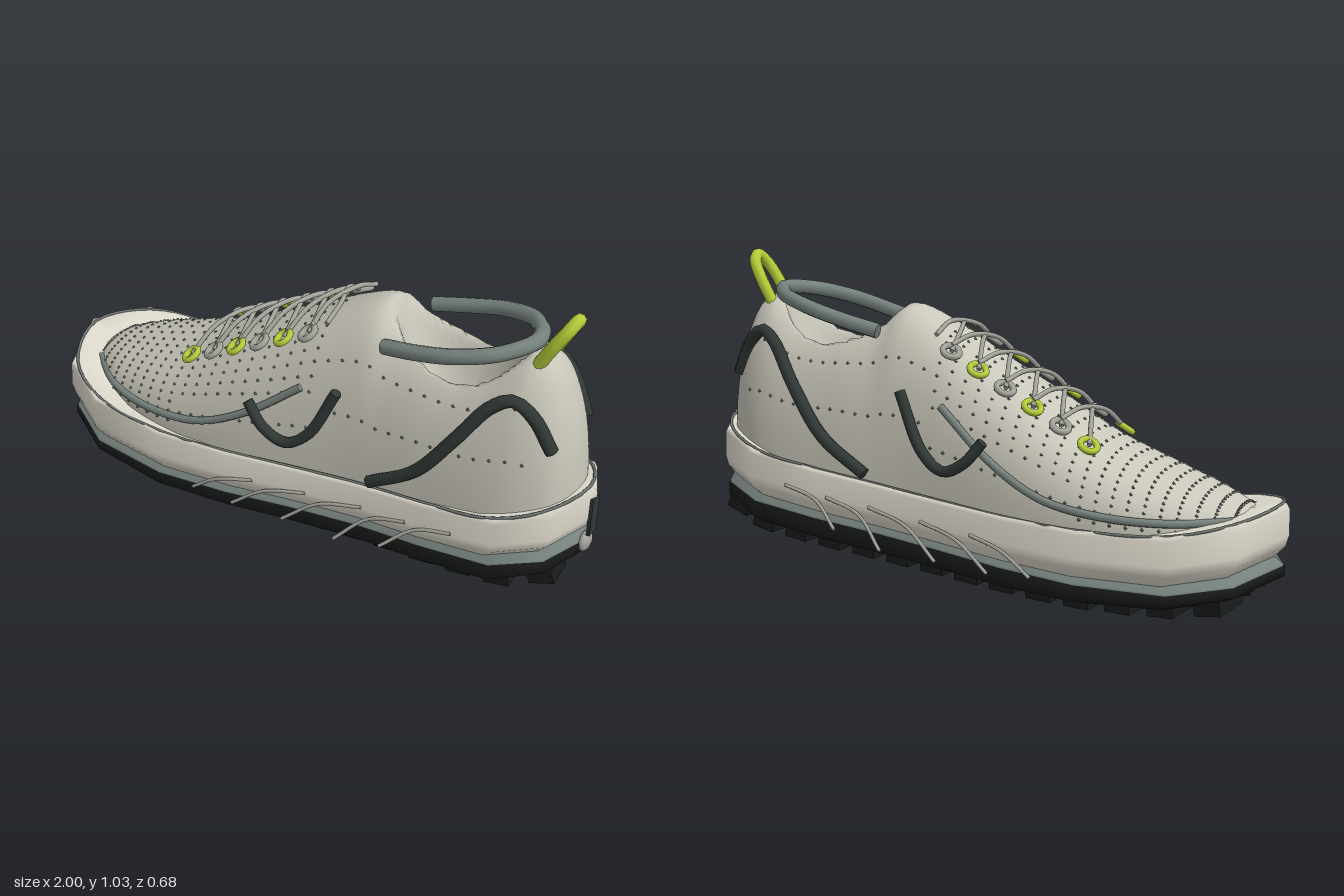
import * as THREE from 'three';
import { mergeGeometries } from 'three/addons/utils/BufferGeometryUtils.js';

const mat = (color) => new THREE.MeshStandardMaterial({ color, side: THREE.DoubleSide });
const M = {
  upper: mat(0xc9c7ba), foam: mat(0xdfdacd), sage: mat(0x76827d), dark: mat(0x303835),
  rubber: mat(0x181b1a), lime: mat(0xb4cc38), lace: mat(0xa3a39b), dot: mat(0x6b726f),
};

// Smooth interpolation through [x, value] pairs
function curve(p) {
  const slope = (i) => {
    const a = p[Math.max(i - 1, 0)], b = p[Math.min(i + 1, p.length - 1)];
    return (b[1] - a[1]) / (b[0] - a[0]);
  };
  return (x) => {
    x = Math.min(Math.max(x, p[0][0]), p[p.length - 1][0]);
    let i = 0;
    while (i < p.length - 2 && x > p[i + 1][0]) i++;
    const d = p[i + 1][0] - p[i][0], t = (x - p[i][0]) / d, s = 1 - t;
    return p[i][1] * s * s * (1 + 2 * t) + p[i + 1][1] * t * t * (3 - 2 * t)
      + d * t * s * (slope(i) * s - slope(i + 1) * t);
  };
}

// Toe is at -x, heel at +x
const soleTop = curve([[-1, 0.335], [-0.8, 0.28], [-0.5, 0.265], [0, 0.285], [0.5, 0.335], [0.8, 0.385], [1, 0.46]]);
const foamBase = curve([[-1, 0.165], [-0.8, 0.12], [-0.4, 0.12], [0, 0.145], [0.5, 0.19], [0.8, 0.23], [1, 0.285]]);
const treadBase = curve([[-1, 0.095], [-0.8, 0.05], [-0.4, 0.04], [0, 0.06], [0.5, 0.1], [0.8, 0.14], [1, 0.21]]);
const ridge = curve([[-0.92, 0.29], [-0.82, 0.34], [-0.6, 0.42], [-0.4, 0.5], [-0.2, 0.62], [0, 0.735], [0.12, 0.81], [0.27, 0.875],
  [0.34, 0.835], [0.45, 0.81], [0.55, 0.8], [0.65, 0.82], [0.74, 0.87], [0.79, 0.885], [0.86, 0.83], [0.93, 0.62], [0.95, 0.4]]);
const halfWidth = curve([[-0.92, 0], [-0.88, 0.09], [-0.8, 0.17], [-0.7, 0.225], [-0.5, 0.272], [-0.2, 0.268],
  [0.2, 0.222], [0.5, 0.208], [0.75, 0.19], [0.88, 0.14], [0.93, 0.08], [0.95, 0.01]]);
const bulge = curve([[-1, 2.3], [0, 2.6], [0.3, 2.3], [0.5, 2.5], [0.75, 2.2], [1, 2]]);

// Surface through a grid of points
function grid(nu, nv, fn) {
  const pos = [], idx = [];
  for (let i = 0; i <= nu; i++) for (let j = 0; j <= nv; j++) pos.push(...fn(i / nu, j / nv));
  for (let i = 0; i < nu; i++) for (let j = 0; j < nv; j++) {
    const a = i * (nv + 1) + j, b = a + nv + 1;
    idx.push(a, a + 1, b, b, a + 1, b + 1);
  }
  const g = new THREE.BufferGeometry();
  g.setAttribute('position', new THREE.Float32BufferAttribute(pos, 3));
  g.setIndex(idx);
  g.computeVertexNormals();
  return g;
}

// Sole outline, one side from toe to heel, then mirrored
const half = [[-1, 0], [-0.91, 0.22], [-0.73, 0.315], [-0.44, 0.34], [-0.18, 0.31], [0.06, 0.27], [0.3, 0.242],
  [0.54, 0.238], [0.78, 0.228], [0.93, 0.155], [1, 0]];
const outline = [...half, ...half.slice(1, -1).reverse().map(([x, z]) => [x, -z]), half[0]];
const widthAt = (x) => {
  const i = Math.max(1, half.findIndex((p) => p[0] >= x)), a = half[i - 1], b = half[i];
  return a[1] + (b[1] - a[1]) * (x - a[0]) / (b[0] - a[0]);
};

// Stack of scaled outlines, each [scaleX, scaleZ, height rule]
const stack = (rings) => grid(rings.length - 1, outline.length - 1, (u, v) => {
  const [sx, sz, y] = rings[Math.round(u * (rings.length - 1))];
  const [x, z] = outline[Math.round(v * (outline.length - 1))];
  return [x * sx, y(x), z * sz];
});
const mix = (t) => (x) => foamBase(x) + (soleTop(x) - foamBase(x)) * t;

// Point on the upper at length x and angle a across it
function onUpper(x, a) {
  const base = soleTop(x) - 0.03, n = bulge(x), c = Math.cos(a);
  const z = halfWidth(x) * Math.sign(c) * Math.abs(c) ** (2 / n);
  const y = base + Math.max(0, ridge(x) - base) * Math.max(0, Math.sin(a)) ** (2 / n);
  const d = ((x - 0.53) / 0.23) ** 2 + (z / 0.122) ** 2; // foot opening
  return [x, d < 1 ? y - 0.32 * (1 - d) : y, z];
}
const sideZ = (x, y) => {
  const base = soleTop(x) - 0.03, n = bulge(x);
  const s = Math.min(1, Math.max(0, (y - base) / (ridge(x) - base)));
  return halfWidth(x) * (1 - s ** n) ** (1 / n);
};

function tube(points, r, closed = false, seg = 32) {
  const path = new THREE.CatmullRomCurve3(points.map((p) => new THREE.Vector3(...p)), closed);
  const g = new THREE.TubeGeometry(path, seg, r, 8, closed);
  if (closed) return g;
  const caps = [0, 1].map((t) => {
    const cap = new THREE.CircleGeometry(r, 8);
    const dir = path.getTangent(t).multiplyScalar(t ? 1 : -1);
    cap.applyQuaternion(new THREE.Quaternion().setFromUnitVectors(new THREE.Vector3(0, 0, 1), dir));
    const p = path.getPoint(t);
    return cap.translate(p.x, p.y, p.z);
  });
  return mergeGeometries([g, ...caps]);
}

export function createModel() {
  const shoe = new THREE.Group();
  const add = (name, geo, material) => {
    const m = new THREE.Mesh(geo, material);
    m.name = name;
    shoe.add(m);
    return m;
  };

  // Sole layers
  add('midsole', stack([[0.6, 0.5, mix(0.7)], [0.9, 0.85, mix(0.88)], [0.99, 0.95, mix(1)], [1, 0.965, mix(0.9)],
    [1, 1, mix(0.42)], [0.99, 0.99, mix(0.22)], [0.955, 0.93, mix(0)]]), M.foam);
  add('soleStripe', stack([[0.945, 0.91, mix(0.06)], [0.985, 0.975, mix(-0.1)], [0.985, 0.975, mix(-0.16)]]), M.sage);
  add('outsole', stack([[0.96, 0.93, mix(-0.1)], [0.99, 0.98, mix(-0.15)], [0.99, 0.985, (x) => treadBase(x) + 0.015],
    [0.96, 0.92, treadBase], [0.96, 0, treadBase]]), M.rubber);
  add('soleSeam', tube(outline.slice(0, -1).map(([x, z]) => [x * 0.975, soleTop(x) - 0.002, z * 0.925]), 0.005, true, 100), M.dot);
  add('heelSlot', new THREE.BoxGeometry(0.012, 0.14, 0.045).translate(0.994, 0.36, 0), M.dark);
  add('heelStud', new THREE.SphereGeometry(0.036, 12, 8).scale(0.5, 1, 1).translate(0.98, 0.25, 0), M.lace);

  // Tread lugs in two rows
  for (let i = 0; i < 14; i++) {
    const x = -0.82 + i * 0.132, w = widthAt(x) * 0.76 - 0.03;
    const tilt = Math.atan((treadBase(x + 0.05) - treadBase(x - 0.05)) / 0.1);
    for (const s of [-1, 1]) {
      const lug = add('treadLug', new THREE.BoxGeometry(0.085, 0.044, w), M.rubber);
      lug.position.set(x, treadBase(x) - 0.016, s * (0.03 + w / 2));
      lug.rotation.set(0, s * 0.1, tilt);
    }
  }

  // Upper with its foot opening
  add('upper', grid(110, 64, (u, v) => onUpper(0.015 - 0.935 * Math.cos(u * Math.PI), v * Math.PI)), M.upper);
  add('insole', new THREE.CircleGeometry(1, 32).rotateX(-Math.PI / 2).scale(0.1, 1, 0.062).translate(0.53, 0.565, 0), M.dark);

  // Raised dots, dense on the toe box and sparse on the flanks
  const dots = [];
  for (let i = 0; i < 36; i++) {
    const x = -0.86 + i * 0.048;
    for (let j = 1; j < 24; j++) {
      const rim = Math.min(j, 24 - j);
      if (x > 0.1 && rim !== 3 && rim !== 6) continue;
      if (x > -0.4 && x <= 0.1 && rim % 2 && rim < 5) continue;
      dots.push(new THREE.OctahedronGeometry(0.0065, 0).translate(...onUpper(x, j * Math.PI / 24)));
    }
  }
  add('perforationDots', mergeGeometries(dots), M.dot);

  // Mirrored side trims
  const toeTrim = [[-0.86, 0.29], [-0.7, 0.29], [-0.5, 0.3], [-0.3, 0.335], [-0.12, 0.43], [0.07, 0.58]];
  const vTrim = [[-0.1, 0.49, 0.262], [-0.04, 0.42, 0.27], [0.04, 0.385, 0.262], [0.12, 0.44, 0.248], [0.21, 0.62, 0.222]];
  const heelTrim = [[0.34, 0.34, 0.23], [0.5, 0.45, 0.225], [0.62, 0.61, 0.205], [0.71, 0.74, 0.17], [0.77, 0.775, 0.148],
    [0.83, 0.73, 0.13], [0.89, 0.62, 0.112]];
  const ribs = [[-0.29, 0.1, -0.07, 0.2, 0.005], [-0.14, 0.09, 0.12, 0.215, 0.01], [0.05, 0.1, 0.32, 0.235, 0.025],
    [0.25, 0.11, 0.48, 0.25, 0.045], [0.42, 0.16, 0.64, 0.275, 0.05]];
  for (const s of [-1, 1]) {
    const flip = (pts) => pts.map(([x, y, z]) => [x, y, s * z]);
    add('toeTrim', tube(flip(toeTrim.map(([x, y]) => [x, y, sideZ(x, y) + 0.004])), 0.013), M.sage);
    add('midfootTrim', tube(flip(vTrim), 0.018), M.dark);
    add('heelTrim', tube(flip(heelTrim), 0.021), M.dark);
    for (const [x0, y0, x1, y1, out] of ribs) {
      const xm = x0 + (x1 - x0) * 0.45, ym = y0 + (y1 - y0) * 0.7;
      add('midsoleRib', tube(flip([[x0, y0, widthAt(x0) + out], [xm, ym, widthAt(xm) + 0.008], [x1, y1, widthAt(x1)]]), 0.006), M.lace);
    }
  }

  // Eyelets and crossed laces
  const eyeY = (x) => 0.49 + (x + 0.41) * 0.55;
  for (let i = 0; i < 6; i++) {
    const x = -0.41 + i * 0.094;
    for (const s of [-1, 1]) {
      const eyelet = add('eyelet', new THREE.TorusGeometry(0.027, 0.0105, 8, 20).rotateX(Math.PI / 2 + s * 0.35),
        i % 2 ? M.lace : M.lime);
      eyelet.position.set(x, eyeY(x), s * 0.155);
      eyelet.rotation.z = 0.5;
      const x1 = x + (i < 5 ? 0.1 : 0.06), xm = (x + x1) / 2;
      add('lace', tube([[x, eyeY(x), s * 0.15], [xm - 0.02, eyeY(xm) + 0.045, s * 0.06],
        [xm + 0.02, eyeY(xm) + 0.06 + s * 0.006, -s * 0.05], [x1, eyeY(x1) + 0.015, -s * 0.14]], 0.008), M.lace);
    }
  }

  // Collar and pull loop
  const collar = [[0.33, 0.795, 0.145], [0.45, 0.825, 0.158], [0.58, 0.86, 0.156], [0.7, 0.89, 0.108]];
  add('collar', tube([...collar, [0.765, 0.905, 0], ...collar.map(([x, y, z]) => [x, y, -z]).reverse()], 0.025, false, 64), M.sage);
  const loop = [[0.79, 0.85, 0.048], [0.84, 0.94, 0.047], [0.87, 0.99, 0.03]];
  add('pullLoop', tube([...loop, [0.88, 1.01, 0], ...loop.map(([x, y, z]) => [x, y, -z]).reverse()], 0.02, false, 48), M.lime);
  return shoe;
}
